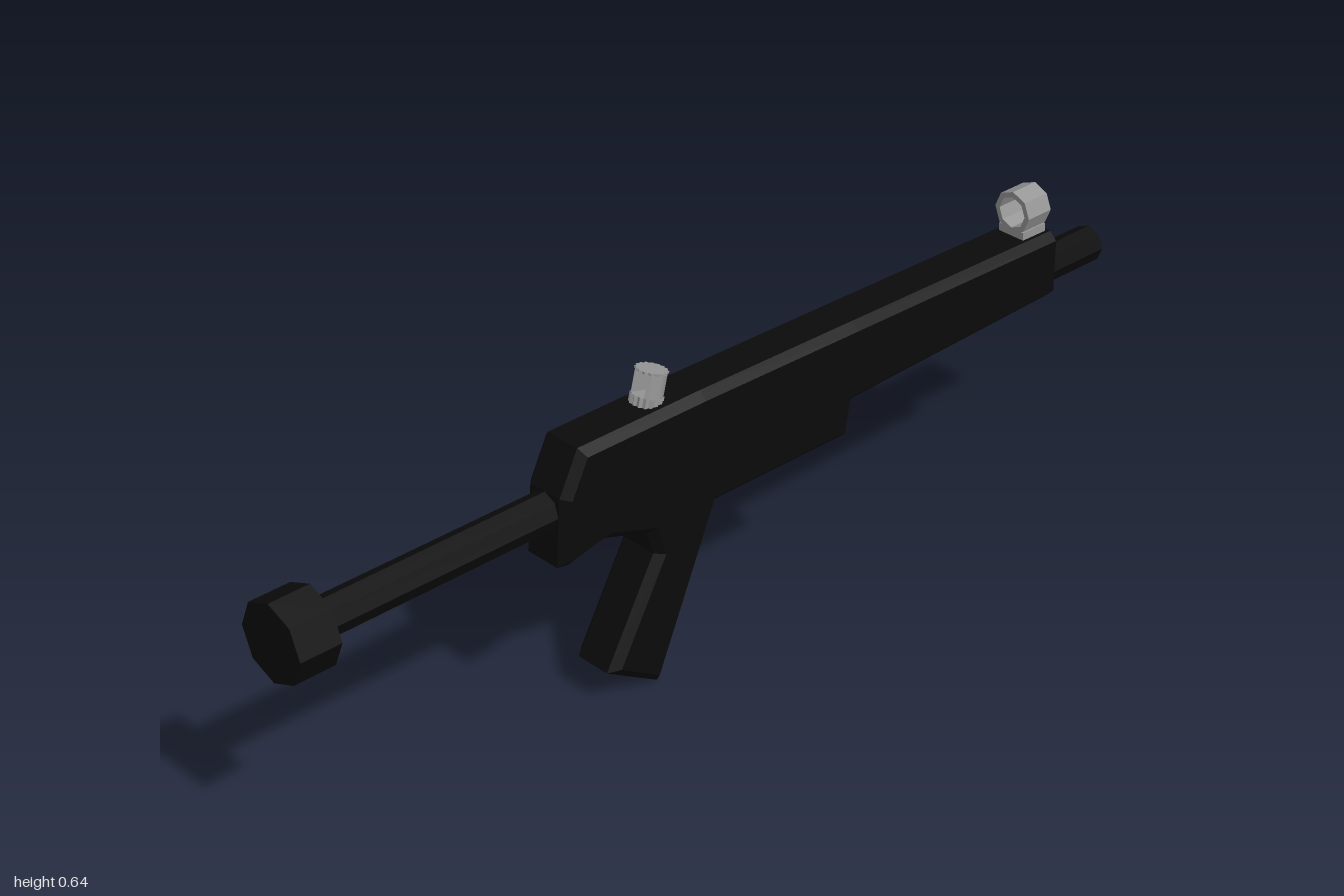
import * as THREE from 'three';

export function createModel() {
  const model = new THREE.Group();
  const black = new THREE.MeshStandardMaterial({ color: 0x0b0b0b, flatShading: true });
  black.name = 'black';
  const grey = new THREE.MeshStandardMaterial({ color: 0x969696, flatShading: true });
  grey.name = 'grey';

  const add = (name, geometry, material, parent = model) => {
    const mesh = new THREE.Mesh(geometry, material);
    mesh.name = name;
    parent.add(mesh);
    return mesh;
  };
  const shapeOf = (points) => new THREE.Shape(points.map(([x, y]) => new THREE.Vector2(x, y)));
  const arc = (radius, sides, from = 0, to = Math.PI * 2) =>
    Array.from({ length: sides + 1 }, (_, i) => {
      const a = from + ((to - from) * i) / sides;
      return [radius * Math.cos(a), radius * Math.sin(a)];
    });

  // Receiver, fore-end and grip: one chamfered side profile
  const profile = shapeOf([
    [-0.42, 0.35], [-0.395, 0.345], [-0.31, 0.363], [-0.21, 0.33], [-0.195, 0.28],
    [-0.31, 0.075], [-0.19, 0.004], [-0.048, 0.33], [0.285, 0.33], [0.298, 0.4],
    [0.84, 0.416], [0.84, 0.555], [0.3, 0.564], [-0.08, 0.57], [-0.367, 0.57], [-0.41, 0.485],
  ]);
  const bevel = 0.016;
  const body = new THREE.ExtrudeGeometry(profile, {
    depth: 0.076, bevelEnabled: true, bevelSegments: 1,
    bevelSize: bevel, bevelOffset: -bevel, bevelThickness: bevel,
  });
  body.translate(0, 0, -0.038);
  // Square off the front end
  const position = body.attributes.position;
  for (let i = 0; i < position.count; i++) {
    if (position.getX(i) > 0.8) position.setX(i, 0.84);
  }
  body.computeVertexNormals();
  add('body', body, black);

  // Eight-sided rods along x
  const rod = (name, radius, x0, x1, y) => {
    const geometry = new THREE.CylinderGeometry(radius, radius, x1 - x0, 8);
    geometry.rotateZ(Math.PI / 2);
    add(name, geometry, black).position.set((x0 + x1) / 2, y, 0);
  };
  rod('stockTube', 0.037, -0.93, -0.38, 0.447);
  rod('buttPad', 0.078, -1, -0.914, 0.445);
  rod('barrel', 0.037, 0.82, 1, 0.458);

  // Front sight: octagonal ring on a foot
  const frontSight = new THREE.Group();
  frontSight.name = 'frontSight';
  model.add(frontSight);
  const ringShape = shapeOf(arc(0.043, 8));
  ringShape.holes.push(shapeOf(arc(0.032, 8)));
  const ring = new THREE.ExtrudeGeometry(ringShape, { depth: 0.062, bevelEnabled: false });
  ring.rotateY(Math.PI / 2);
  add('sightRing', ring, grey, frontSight).position.set(0.77, 0.605, 0);
  add('sightFoot', new THREE.BoxGeometry(0.062, 0.03, 0.062), grey, frontSight).position.set(0.801, 0.557, 0);

  // Rear sight: leaning drum with a window along x
  const drum = new THREE.Group();
  drum.name = 'rearSight';
  drum.position.set(-0.165, 0.604, 0);
  drum.rotation.z = -0.25;
  model.add(drum);
  const rim = shapeOf(Array.from({ length: 32 }, (_, i) => {
    const r = i % 2 ? 0.027 : 0.031;
    const a = (i * Math.PI) / 16;
    return [r * Math.cos(a), r * Math.sin(a)];
  }));
  const plate = (name, shape, y, height) => {
    const geometry = new THREE.ExtrudeGeometry(shape, { depth: height, bevelEnabled: false });
    geometry.rotateX(-Math.PI / 2);
    add(name, geometry, grey, drum).position.y = y;
  };
  plate('drumTop', rim, 0.022, 0.004);
  plate('drumBase', rim, -0.04, 0.018);
  for (const side of [-1, 1]) {
    const middle = (side * Math.PI) / 2;
    plate('drumWall', shapeOf(arc(0.029, 8, middle - 0.95, middle + 0.95)), -0.022, 0.044);
  }
  return model;
}
